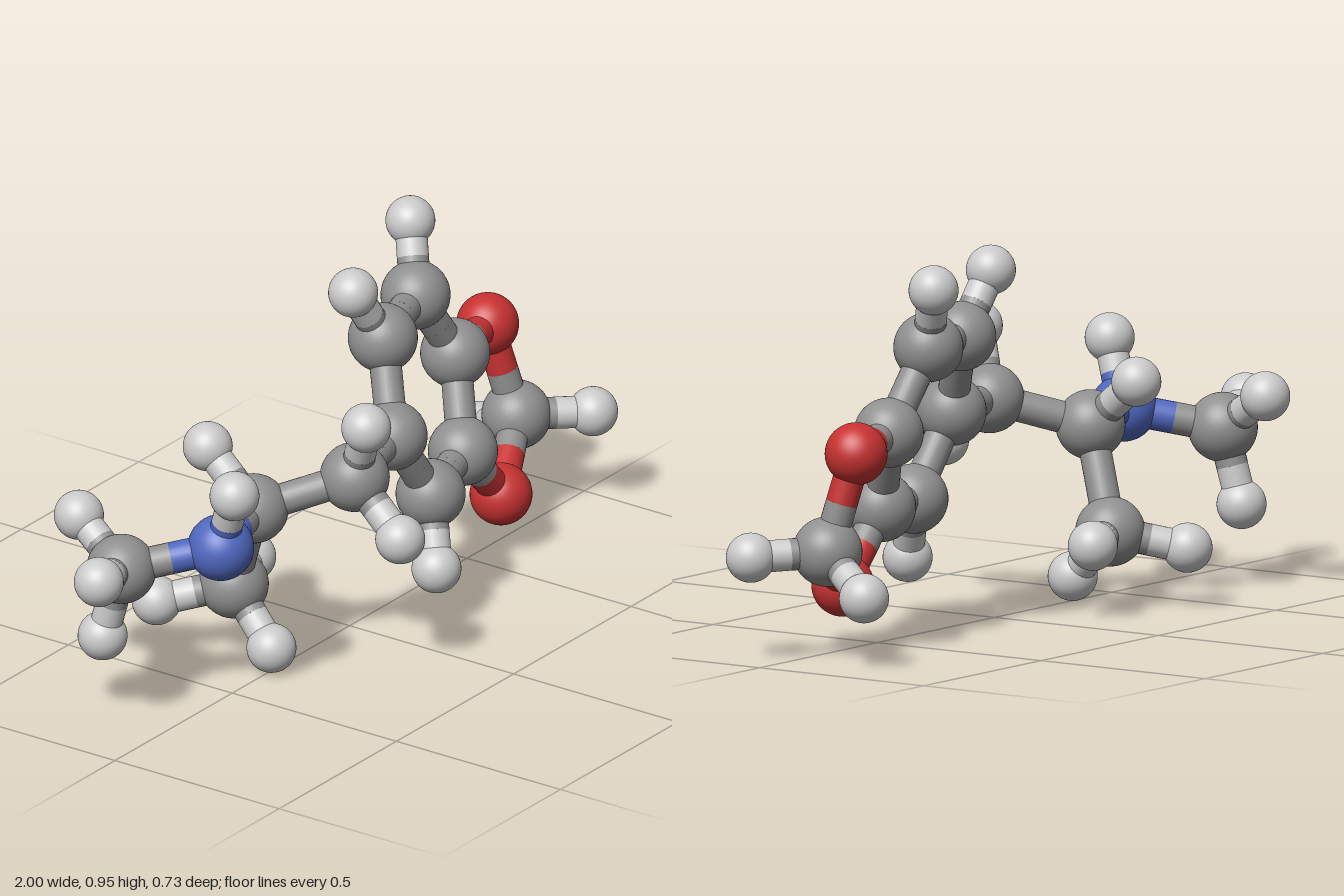
import * as THREE from 'three';

// Elements: ball radius and material
const mat = (color) => new THREE.MeshStandardMaterial({ color });
const ELEMENTS = {
  C: { label: 'carbon', radius: 0.087, material: mat(0x909090) },
  H: { label: 'hydrogen', radius: 0.062, material: mat(0xcccccc) },
  O: { label: 'oxygen', radius: 0.078, material: mat(0xc83232) },
  N: { label: 'nitrogen', radius: 0.083, material: mat(0x5068c0) },
};
const BOND_RADIUS = 0.04;

// Heavy atoms: element, position, then the positions of the hydrogens they carry
const ATOMS = {
  amine: ['N', [-0.605, 0.45, 0.04], [[-0.636, 0.618, 0.104]]],
  amineMethyl: ['C', [-0.763, 0.4, -0.15],
    [[-0.943, 0.446, -0.09], [-0.73, 0.495, -0.303], [-0.773, 0.21, -0.2]]],
  branch: ['C', [-0.36, 0.447, -0.035], [[-0.343, 0.57, -0.187]]],
  branchMethyl: ['C', [-0.302, 0.195, -0.137],
    [[-0.42, 0.153, -0.288], [-0.13, 0.187, -0.207], [-0.333, 0.067, 0]]],
  chain: ['C', [-0.188, 0.518, 0.15], [[-0.238, 0.688, 0.221], [-0.208, 0.396, 0.303]]],
  ring1: ['C', [0.06, 0.523, 0.088], []],
  ring2: ['C', [0.153, 0.731, -0.008], [[0.05, 0.886, -0.025]]],
  ring3: ['C', [0.393, 0.74, -0.08], [[0.466, 0.898, -0.148]]],
  ring4: ['C', [0.527, 0.54, -0.055], []],
  ring5: ['C', [0.43, 0.333, 0.038], []],
  ring6: ['C', [0.2, 0.319, 0.104], [[0.131, 0.158, 0.171]]],
  upperBridge: ['O', [0.751, 0.521, -0.116], []],
  lowerBridge: ['O', [0.591, 0.157, 0.039], []],
  bridge: ['C', [0.791, 0.275, -0.057], [[0.933, 0.266, 0.075], [0.853, 0.18, -0.213]]],
};

// Chains of bonded heavy atoms
const CHAINS = [
  ['amineMethyl', 'amine', 'branch', 'chain', 'ring1'],
  ['branch', 'branchMethyl'],
  ['ring1', 'ring2', 'ring3', 'ring4', 'ring5', 'ring6', 'ring1'],
  ['ring4', 'upperBridge', 'bridge', 'lowerBridge', 'ring5'],
];

const ballGeometry = new THREE.SphereGeometry(1, 40, 28);
const stickGeometry = new THREE.CylinderGeometry(BOND_RADIUS, BOND_RADIUS, 1, 24, 1, true);

function ball(element, position, place) {
  const { label, radius, material } = ELEMENTS[element];
  const mesh = new THREE.Mesh(ballGeometry, material);
  mesh.name = `${place} ${label} ball`;
  mesh.position.set(...position);
  mesh.scale.setScalar(radius);
  return mesh;
}

// Half of a bond, in the colour of the atom it starts from
function halfBond(element, from, middle) {
  const mesh = new THREE.Mesh(stickGeometry, ELEMENTS[element].material);
  const along = middle.clone().sub(from);
  mesh.name = `${ELEMENTS[element].label} half bond`;
  mesh.position.copy(from).addScaledVector(along, 0.5);
  mesh.scale.y = along.length();
  mesh.quaternion.setFromUnitVectors(new THREE.Vector3(0, 1, 0), along.normalize());
  return mesh;
}

function bond(elementA, a, elementB, b) {
  const start = new THREE.Vector3(...a);
  const end = new THREE.Vector3(...b);
  const middle = start.clone().lerp(end, 0.5);
  const group = new THREE.Group();
  group.name = 'bond';
  group.add(halfBond(elementA, start, middle), halfBond(elementB, end, middle));
  return group;
}

export function createModel() {
  const model = new THREE.Group();
  model.name = 'ball and stick molecule';

  // Heavy atoms with their hydrogens
  for (const [place, [element, position, hydrogens]] of Object.entries(ATOMS)) {
    const group = new THREE.Group();
    group.name = place;
    group.add(ball(element, position, place));
    for (const h of hydrogens) {
      group.add(ball('H', h, place), bond(element, position, 'H', h));
    }
    model.add(group);
  }

  // Skeleton bonds
  const skeleton = new THREE.Group();
  skeleton.name = 'skeleton bonds';
  for (const chain of CHAINS) {
    for (let i = 1; i < chain.length; i++) {
      const [elementA, a] = ATOMS[chain[i - 1]];
      const [elementB, b] = ATOMS[chain[i]];
      skeleton.add(bond(elementA, a, elementB, b));
    }
  }
  model.add(skeleton);
  return model;
}
